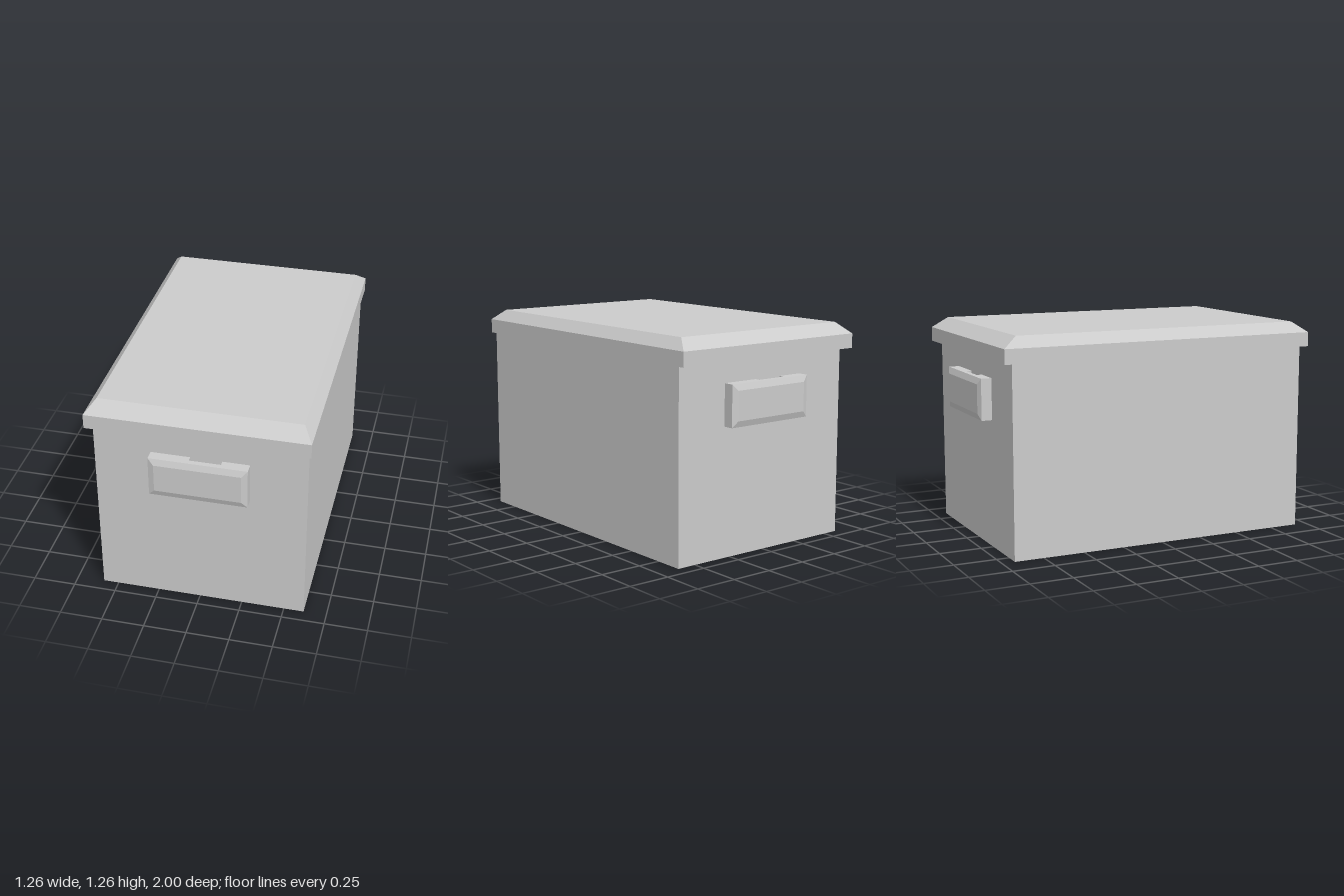
import * as THREE from 'three';

const material = new THREE.MeshStandardMaterial({ color: 0xcccccc, flatShading: true });

// Box given by its minimum and maximum corners
function box(name, [x0, y0, z0], [x1, y1, z1]) {
  const geometry = new THREE.BoxGeometry(x1 - x0, y1 - y0, z1 - z0);
  geometry.translate((x0 + x1) / 2, (y0 + y1) / 2, (z0 + z1) / 2);
  const mesh = new THREE.Mesh(geometry, material);
  mesh.name = name;
  return mesh;
}

// Box whose face at the far end of one axis is drawn in on the other two axes
function taperedBox(name, min, max, axis, inset) {
  const mesh = box(name, min, max);
  const p = mesh.geometry.attributes.position;
  const middle = (min[axis] + max[axis]) / 2;
  for (let i = 0; i < p.count; i++) {
    if (p.getComponent(i, axis) < middle) continue;
    for (let a = 0; a < 3; a++) {
      if (a === axis) continue;
      const side = Math.sign(p.getComponent(i, a) - (min[a] + max[a]) / 2);
      p.setComponent(i, a, p.getComponent(i, a) - side * inset[a]);
    }
  }
  mesh.geometry.computeVertexNormals();
  return mesh;
}

// Grip plate on two mounting blocks, with a finger slot behind its middle
function handle(name) {
  const group = new THREE.Group();
  group.name = name;
  const [x0, x1, y0, y1] = [-0.265, 0.295, 0.747, 0.988];
  group.add(
    box('handleMount', [x0, y0, 0.92], [-0.04, y1, 0.957]),
    box('handleMount', [0.14, y0, 0.92], [x1, y1, 0.957]),
    box('handlePlate', [x0, y0, 0.957], [x1, y1, 0.987]),
    taperedBox('handleBevel', [x0, y0, 0.987], [x1, y1, 1.0], 2, [0.034, 0.036, 0])
  );
  return group;
}

export function createModel() {
  const model = new THREE.Group();
  model.name = 'storageBox';

  // Body
  model.add(box('body', [-0.59, 0, -0.925], [0.617, 1.12, 0.926]));

  // Lid with an overhanging rim and a bevelled top
  const lid = new THREE.Group();
  lid.name = 'lid';
  lid.add(
    box('lidRim', [-0.632, 1.11, -0.983], [0.632, 1.195, 0.957]),
    taperedBox('lidTop', [-0.632, 1.195, -0.983], [0.632, 1.258, 0.957], 1, [0.055, 0, 0.088])
  );
  model.add(lid);

  // Handles on both ends
  const front = handle('frontHandle');
  const back = handle('backHandle');
  back.rotation.y = Math.PI;
  back.position.x = 0.03;
  model.add(front, back);

  return model;
}
